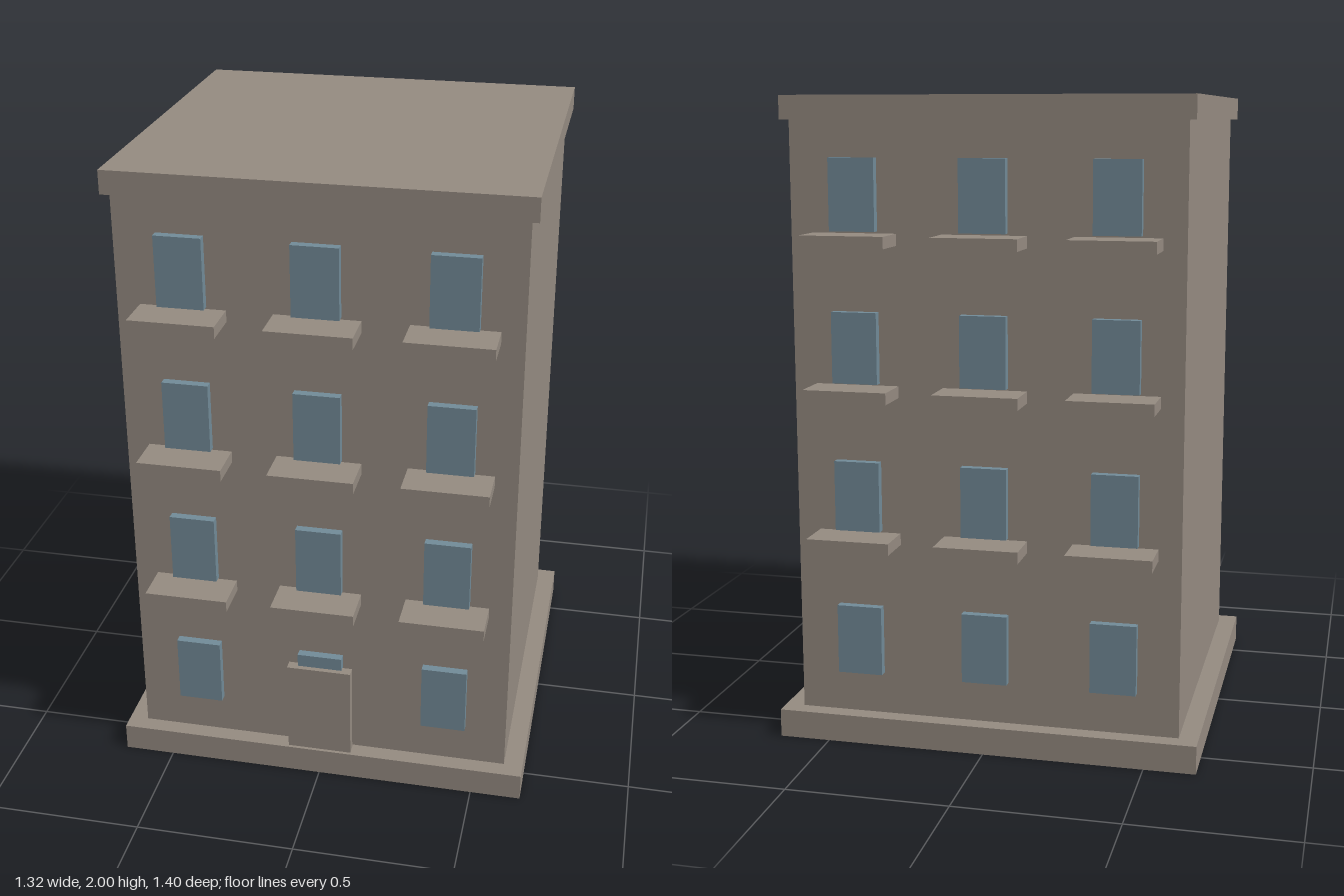
import * as THREE from 'three';

export function createModel() {
  const building = new THREE.Group();
  building.name = 'apartmentBuilding';

  const stone = new THREE.MeshStandardMaterial({ color: 0x968c82 });
  stone.name = 'warm grey stone';
  const glass = new THREE.MeshStandardMaterial({ color: 0x738c99 });
  glass.name = 'blue grey glass';

  // Box given by its lower and upper limits on each axis
  function addBox(parent, name, material, [x0, x1], [y0, y1], [z0, z1]) {
    const mesh = new THREE.Mesh(new THREE.BoxGeometry(x1 - x0, y1 - y0, z1 - z0), material);
    mesh.position.set((x0 + x1) / 2, (y0 + y1) / 2, (z0 + z1) / 2);
    mesh.name = name;
    parent.add(mesh);
  }

  const wallZ = 0.575;
  const floorStep = 0.46;

  // Plinth, walls and roof slab
  addBox(building, 'base', stone, [-0.66, 0.66], [0, 0.088], [-0.628, 0.628]);
  addBox(building, 'walls', stone, [-0.6, 0.6], [0.088, 1.928], [-wallZ, wallZ]);
  addBox(building, 'roof', stone, [-0.622, 0.622], [1.928, 2], [-0.598, 0.598]);

  // Windows on four floors, balconies on the upper three; the same front and back
  for (const side of ['front', 'back']) {
    const facade = new THREE.Group();
    facade.name = side + 'Facade';
    if (side === 'back') facade.rotation.y = Math.PI;
    for (let floor = 0; floor < 4; floor++) {
      const y = 0.22 + floor * floorStep;
      for (const x of [-0.4, 0, 0.4]) {
        addBox(facade, 'window', glass, [x - 0.071, x + 0.071], [y, y + 0.218], [wallZ, 0.602]);
        if (floor > 0) {
          addBox(facade, 'balcony', stone, [x - 0.13, x + 0.13], [y - 0.042, y - 0.006], [wallZ, 0.702]);
        }
      }
    }
    building.add(facade);
  }

  // Entrance door, set slightly forward of the wall
  addBox(building, 'door', stone, [-0.103, 0.103], [0.088, 0.396], [0.586, 0.618]);

  return building;
}
